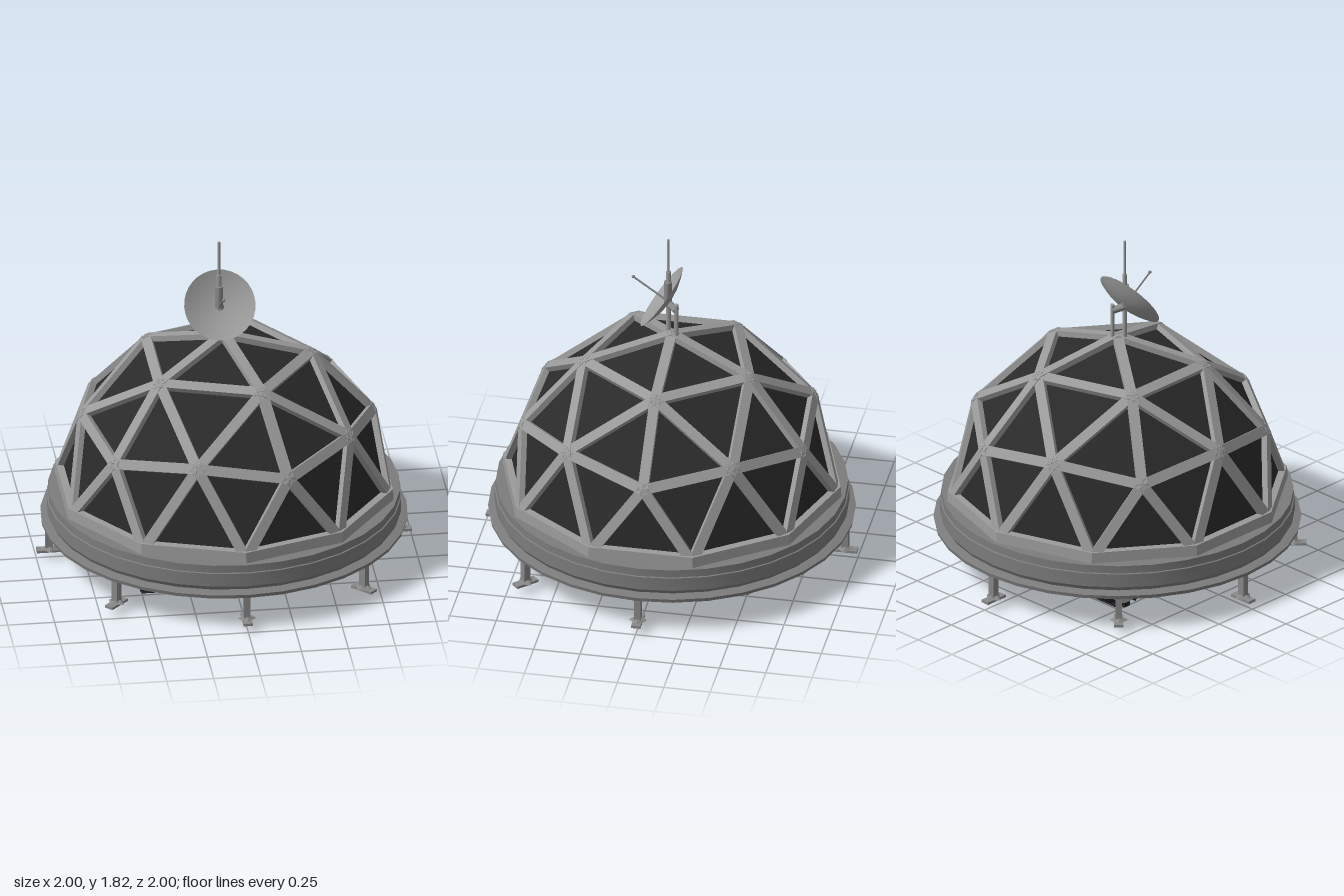
import * as THREE from 'three';
import { toCreasedNormals } from 'three/addons/utils/BufferGeometryUtils.js';

const mat = (name, color, extra = {}) => Object.assign(new THREE.MeshStandardMaterial({ color, ...extra }), { name });
const V = (x, y, z) => new THREE.Vector3(x, y, z);
const UP = V(0, 1, 0);

export function createModel() {
  const M = {
    frame: mat('frame grey', 0x9a9a9a),
    ring: mat('ring grey', 0x7c7c7c),
    panel: mat('panel charcoal', 0x2a2a2a, { side: THREE.DoubleSide }),
    tyre: mat('tyre black', 0x222222),
    leg: mat('leg grey', 0x888888),
    dish: mat('dish grey', 0x9c9c9c, { side: THREE.DoubleSide }),
    hub: mat('hub grey', 0xa6a6a6),
  };
  const model = new THREE.Group();
  model.name = 'domeHabitat';

  const add = (parent, name, geo, material, x = 0, y = 0, z = 0) => {
    const m = new THREE.Mesh(geo, material);
    m.name = name;
    m.position.set(x, y, z);
    parent.add(m);
    return m;
  };
  const group = (name, parent = model) => {
    const g = new THREE.Group();
    g.name = name;
    parent.add(g);
    return g;
  };
  const box = (w, h, d) => new THREE.BoxGeometry(w, h, d);
  const cyl = (r, h, n = 16, r2 = r) => toCreasedNormals(new THREE.CylinderGeometry(r, r2, h, n), 0.9);
  const lathe = (pts, n) => toCreasedNormals(
    new THREE.LatheGeometry(pts.map(p => new THREE.Vector2(...p)), n), 0.3);
  // Round rod between two points
  const rod = (parent, name, a, b, r, material) => {
    const m = add(parent, name, cyl(r, a.distanceTo(b), 12), material);
    m.position.copy(a).lerp(b, 0.5);
    m.quaternion.setFromUnitVectors(UP, b.clone().sub(a).normalize());
    return m;
  };

  // Platform with sloping rim, and the stepped ring above it
  add(model, 'platform', lathe([[0, 0.182], [0.885, 0.182]], 32), M.ring);
  add(model, 'platformRim', lathe([[0.885, 0.182], [0.968, 0.19], [0.972, 0.21], [0.92, 0.222], [0.9, 0.222]], 32), M.ring);
  add(model, 'baseRing', lathe([[0.88, 0.222], [0.925, 0.222], [0.938, 0.245], [0.938, 0.32],
    [0.931, 0.323], [0.931, 0.366], [0.8, 0.37]], 32), M.ring);

  // Geodesic dome: rings of vertices measured on a unit hemisphere
  const R = 0.885, baseY = 0.375;
  const point = (deg, r, y) => {
    const a = deg * Math.PI / 180;
    return V(Math.cos(a) * r, y, -Math.sin(a) * r).multiplyScalar(R);
  };
  const A = () => point(0, 0, 1);
  const B = k => point(72 * k, 0.526, 0.851);
  const C = k => point(72 * k, 0.894, 0.447);
  const D = k => point(72 * k + 36, 0.851, 0.526);
  const E = (k, s) => point(72 * k + 18 * s, 1, 0.012);
  const faces = [];
  for (let k = 0; k < 5; k++) {
    faces.push(
      [A(), B(k), B(k + 1)], [B(k), D(k), B(k + 1)],
      [B(k), C(k), D(k)], [B(k + 1), D(k), C(k + 1)],
      [C(k), E(k, -1), E(k, 1)], [C(k), E(k, 1), D(k)],
      [D(k), E(k, 1), E(k + 1, -1)], [D(k), E(k + 1, -1), C(k + 1)]);
  }
  const dome = group('dome');
  dome.position.y = baseY;

  // Panels sit slightly behind the struts
  const panelGeo = new THREE.BufferGeometry().setFromPoints(
    faces.flat().map(p => p.clone().multiplyScalar(0.99)));
  panelGeo.computeVertexNormals();
  add(dome, 'panels', panelGeo, M.panel);

  // Ten-sided skirt at the foot of the dome
  add(model, 'domeSkirt', lathe([[0.912, 0.364], [0.908, 0.427], [0.86, 0.43]], 10), M.frame);

  // One strut per shared edge and one flat joint per corner
  const strut = (a, b) => {
    const along = b.clone().sub(a).normalize();
    const mid = a.clone().add(b).multiplyScalar(0.5);
    const out = mid.clone().normalize();
    const m = add(dome, 'strut', box(0.055, a.distanceTo(b), 0.035), M.frame);
    m.quaternion.setFromRotationMatrix(
      new THREE.Matrix4().makeBasis(along.clone().cross(out), along, out));
    m.position.copy(mid);
  };
  const seen = new Set();
  const key = p => p.toArray().map(n => Math.round(n * 100)).join();
  for (const f of faces) {
    f.forEach((a, i) => {
      const b = f[(i + 1) % 3];
      const edge = [key(a), key(b)].sort().join('|');
      if (!seen.has(edge) && a.y + b.y > 0.1) strut(a, b);
      seen.add(edge);
      if (!seen.has(key(a)) && a.y > 0.1) {
        const j = add(dome, 'joint', cyl(0.028, 0.026, 10), M.frame);
        j.position.copy(a);
        j.quaternion.setFromUnitVectors(UP, a.clone().normalize());
      }
      seen.add(key(a));
    });
  }

  // Wheels with barrel tyres, tread lugs, hubs and axle stubs
  const across = g => g.rotateZ(Math.PI / 2);
  const tyre = [[0.1, -0.08], [0.13, -0.08], [0.148, -0.055], [0.148, 0.055], [0.13, 0.08], [0.1, 0.08]];
  for (const sx of [-1, 1]) for (const sz of [-1, 1]) {
    const w = group('wheel');
    w.position.set(0.43 * sx, 0.16, 0.44 * sz);
    add(w, 'tyre', across(lathe(tyre, 28)), M.tyre);
    add(w, 'rim', across(cyl(0.13, 0.166, 28)), M.hub);
    add(w, 'hubRing', across(cyl(0.054, 0.172, 20)), M.tyre);
    add(w, 'hubCap', across(cyl(0.044, 0.184, 20)), M.leg);
    for (let i = 0; i < 12; i++) {
      const a = i / 12 * Math.PI * 2;
      const lug = add(w, 'treadLug', box(0.15, 0.03, 0.042), M.tyre,
        0, Math.cos(a) * 0.144, Math.sin(a) * 0.144);
      lug.rotation.x = a;
    }
    add(w, 'axle', across(cyl(0.026, 0.22, 12)), M.leg, -0.16 * sx, 0, 0);
  }

  // Stabiliser legs: post, foot and small gusset
  const makeLeg = (name, deg, radius, braced) => {
    const g = group(name);
    g.rotation.y = deg * Math.PI / 180;
    add(g, 'post', box(0.04, 0.14, 0.036), M.leg, radius, 0.12, 0);
    add(g, 'foot', box(0.134, 0.014, 0.05), M.leg, radius, 0.046, 0);
    add(g, 'gusset', cyl(0.024, 0.016, 4, 0.05), M.leg, radius, 0.06, 0);
    if (braced) rod(g, 'brace', V(radius, 0.08, 0), V(radius - 0.12, 0.185, 0), 0.012, M.leg);
  };
  for (const deg of [0, 90, 135, 180, 225, 270, 315]) makeLeg('outerLeg', deg, 0.932, false);
  for (let i = 0; i < 4; i++) makeLeg('innerLeg', i * 90, 0.6, true);

  // Folding entry ramp with dark treads, and its posts
  const ramp = group('ramp');
  ramp.position.set(0, 0.11, 0.1);
  ramp.rotation.x = Math.atan2(0.13, 0.2);
  add(ramp, 'rampBoard', box(0.32, 0.016, 0.24), M.leg);
  for (const s of [-1, 1]) for (let i = 0; i < 4; i++) {
    add(ramp, 'rampTread', box(0.12, 0.004, 0.05), M.tyre, 0.075 * s, 0.009, -0.084 + i * 0.056);
  }
  for (const s of [-1, 1]) {
    add(model, 'rampPost', box(0.028, 0.14, 0.028), M.leg, 0.2 * s, 0.115, -0.14);
    add(model, 'rampPostFoot', box(0.09, 0.014, 0.06), M.leg, 0.2 * s, 0.046, -0.14);
  }
  add(model, 'centrePost', box(0.036, 0.14, 0.036), M.leg, 0, 0.115, 0);

  // Mast and dish on the top of the dome
  rod(model, 'mast', V(-0.03, 1.24, 0.025), V(-0.03, 1.63, 0.025), 0.013, M.frame);
  rod(model, 'mastSleeve', V(-0.03, 1.44, 0.028), V(-0.03, 1.565, 0.028), 0.022, M.leg);
  rod(model, 'antenna', V(-0.03, 1.62, 0.025), V(-0.03, 1.825, 0.025), 0.007, M.frame);
  rod(model, 'dishPost', V(0.012, 1.23, -0.025), V(0.012, 1.455, -0.025), 0.012, M.frame);
  rod(model, 'dishBracket', V(0.012, 1.42, -0.025), V(-0.03, 1.44, 0.03), 0.02, M.leg);
  const dish = group('dishAssembly');
  dish.position.set(-0.03, 1.47, 0.062);
  dish.quaternion.setFromUnitVectors(UP, V(0, 0.57, 0.82).normalize());
  const bowl = [0, 0.05, 0.1, 0.15, 0.19].map(r => [r, -0.048 + 0.048 * (r / 0.19) ** 2]);
  add(dish, 'dish', lathe(bowl, 32), M.dish);
  rod(dish, 'feedRod', V(0, -0.045, 0), V(0, 0.185, 0), 0.005, M.leg);
  add(dish, 'feedTip', new THREE.SphereGeometry(0.009, 10, 8), M.leg, 0, 0.185, 0);

  return model;
}
